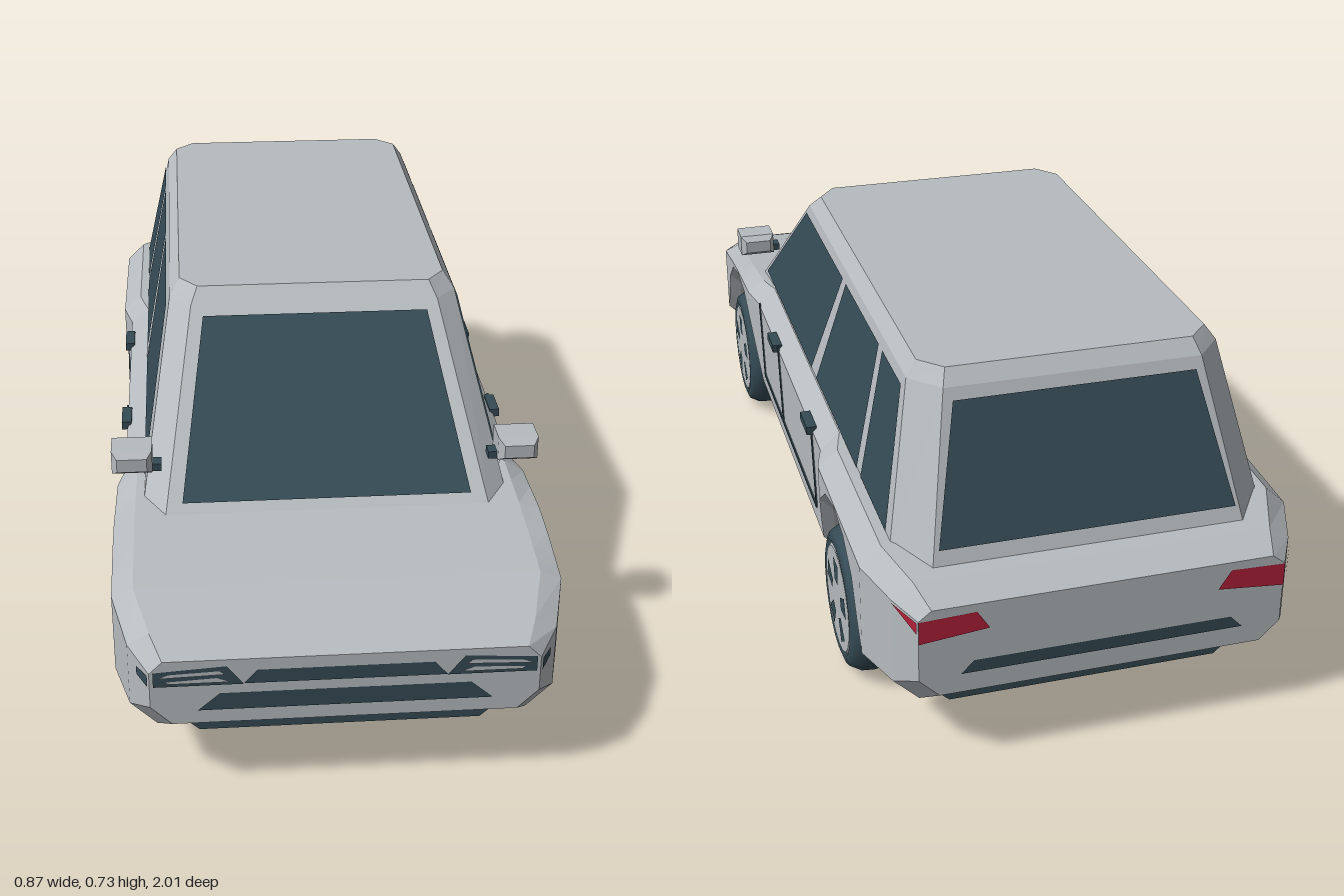
import * as THREE from 'three';

const mat = (name, color) => {
  const m = new THREE.MeshStandardMaterial({ color, side: THREE.DoubleSide, flatShading: true });
  m.name = name;
  return m;
};

const polygon = (pts) => new THREE.Shape(pts.map((p) => new THREE.Vector2(...p)));

export function createModel() {
  const car = new THREE.Group();
  car.name = 'car';
  const paint = mat('silver paint', 0xb6bbbf);
  const dark = mat('dark glass and trim', 0x354b55);
  const red = mat('tail light red', 0xb4203a);
  const rubber = dark.clone();
  rubber.name = 'tyre rubber';
  rubber.flatShading = false;

  const add = (name, geo, material, parent = car) => {
    const m = new THREE.Mesh(geo, material);
    m.name = name;
    parent.add(m);
    return m;
  };

  const toGeometry = (pos) => {
    const g = new THREE.BufferGeometry();
    g.setAttribute('position', new THREE.Float32BufferAttribute(pos, 3));
    g.computeVertexNormals();
    return g;
  };

  // Flat-shaded skin over a stack of rings, closed at both ends
  const loft = (rings) => {
    const n = rings[0].length, pos = [];
    const tri = (...p) => p.forEach((v) => pos.push(...v));
    for (let i = 0; i < rings.length - 1; i++) {
      for (let k = 0; k < n; k++) {
        const a = rings[i][k], b = rings[i][(k + 1) % n];
        const c = rings[i + 1][k], d = rings[i + 1][(k + 1) % n];
        tri(a, c, b);
        tri(b, c, d);
      }
    }
    const last = rings[rings.length - 1];
    for (let k = 1; k < n - 1; k++) {
      tri(rings[0][0], rings[0][k], rings[0][k + 1]);
      tri(last[0], last[k + 1], last[k]);
    }
    return toGeometry(pos);
  };

  // Half outline completed by its mirror image
  const mirrored = (half) => [...half, ...half.slice().reverse().map(([u, v]) => [-u, v])];

  // Thin convex plate whose 2D corners are mapped onto a surface, facing away from the centre
  const plate = (name, pts, place, material, parent = car) => {
    const p = pts.map(([u, v]) => new THREE.Vector3(...place(u, v)));
    const normal = () => p[1].clone().sub(p[0]).cross(p[2].clone().sub(p[0])).normalize();
    const mid = p.reduce((sum, v) => sum.add(v), new THREE.Vector3()).divideScalar(p.length);
    if (normal().dot(mid.sub(new THREE.Vector3(0, 0.3, 0))) < 0) p.reverse();
    const offset = normal().multiplyScalar(0.004);
    p.forEach((v) => v.add(offset));
    const pos = [];
    for (let k = 1; k < p.length - 1; k++) [p[0], p[k], p[k + 1]].forEach((v) => pos.push(v.x, v.y, v.z));
    add(name, toGeometry(pos), material, parent);
  };

  // Body plan: z, half width, shoulder height, top height
  const plan = [
    [1, 0.365, 0.285, 0.31], [0.94, 0.405, 0.31, 0.333], [0.83, 0.435, 0.345, 0.362],
    [0.64, 0.435, 0.376, 0.385], [0.45, 0.43, 0.378, 0.405], [0.39, 0.415, 0.374, 0.41],
    [-0.39, 0.415, 0.374, 0.41], [-0.46, 0.435, 0.378, 0.412], [-0.84, 0.432, 0.37, 0.41],
    [-0.94, 0.395, 0.355, 0.385], [-1, 0.36, 0.34, 0.36],
  ];
  const planAt = (z) => {
    const i = Math.max(1, plan.findIndex((p) => p[0] <= z));
    const a = plan[i - 1], b = plan[i], t = (a[0] - z) / (a[0] - b[0]);
    return a.map((v, k) => v + (b[k] - v) * t);
  };

  // Lower edge: z, height, chamfer; each wheel arch is an arc of seven points
  const axles = [0.61, -0.615];
  const arch = (centre) => Array.from({ length: 7 }, (_, i) => {
    const a = THREE.MathUtils.degToRad(15 + 25 * i);
    return [centre + 0.195 * Math.cos(a), 0.152 + 0.19 * Math.sin(a), 0.028];
  });
  const lowerEdge = [
    [1, 0.17, 0.04], [0.94, 0.128, 0.05], [0.83, 0.13, 0.05], ...arch(axles[0]),
    [0.39, 0.12, 0.04], [-0.39, 0.12, 0.04], ...arch(axles[1]),
    [-0.84, 0.125, 0.05], [-0.94, 0.125, 0.05], [-1, 0.17, 0.04],
  ];
  add('lowerBody', loft(lowerEdge.map(([z, bottom, chamfer]) => {
    const [, w, shoulder, top] = planAt(z);
    const inset = Math.abs(z) === 1 ? 0.025 : 0.042;
    const half = [[w - chamfer, bottom], [w, bottom + chamfer], [w, shoulder], [w - inset, top]];
    return mirrored(half).map(([x, y]) => [x, y, z]);
  })), paint);

  // Cabin rings: y, front half width and z, side half width, side front and rear z, rear half width and z
  add('cabin', loft([
    [0.725, 0.25, 0.22, 0.288, 0.17, -0.72, 0.245, -0.765],
    [0.695, 0.265, 0.255, 0.31, 0.2, -0.73, 0.255, -0.79],
    [0.385, 0.33, 0.61, 0.375, 0.55, -0.84, 0.31, -0.915],
  ].map(([y, fx, fz, sx, sf, sr, rx, rz]) =>
    mirrored([[fx, fz], [sx, sf], [sx, sr], [rx, rz]]).map(([x, z]) => [x, y, z]))), paint);

  // Windscreens lie on the sloping cabin faces
  const slope = (y) => (y - 0.385) / 0.31;
  const trapezoid = (x0, y0, x1, y1) => [[-x0, y0], [x0, y0], [x1, y1], [-x1, y1]];
  plate('windscreen', trapezoid(0.295, 0.403, 0.24, 0.677), (x, y) => [x, y, 0.61 - 0.355 * slope(y)], dark);
  plate('rearWindow', trapezoid(0.295, 0.42, 0.24, 0.672), (x, y) => [x, y, -0.915 + 0.125 * slope(y)], dark);

  // Grille and bumper slots
  plate('upperGrille', trapezoid(0.19, 0.257, 0.165, 0.286), (x, y) => [x, y, 0.998], dark);
  plate('lowerGrille', trapezoid(0.277, 0.2, 0.235, 0.237), (x, y) => [x, y, 0.998], dark);
  plate('rearBumperSlot', trapezoid(0.28, 0.212, 0.255, 0.238), (x, y) => [x, y, -0.998], dark);

  const windows = [
    [[0.495, 0.415], [0.2, 0.677], [-0.205, 0.677], [-0.085, 0.415]],
    [[-0.14, 0.415], [-0.235, 0.677], [-0.54, 0.677], [-0.555, 0.415]],
    [[-0.59, 0.415], [-0.57, 0.677], [-0.72, 0.677], [-0.805, 0.415]],
  ];
  const seams = [
    [0.367, 0.385, 0.335, 0.2], [0.107, 0.385, 0.077, 0.2],
    [-0.295, 0.385, -0.325, 0.2], [0.335, 0.2, -0.325, 0.2],
  ];
  const strips = [
    [[0.235, 0.288], [0.33, 0.284], [0.35, 0.276], [0.225, 0.28]],
    [[0.215, 0.263], [0.24, 0.273], [0.335, 0.268], [0.33, 0.263]],
  ];

  for (const s of [1, -1]) {
    const side = new THREE.Group();
    side.name = s > 0 ? 'leftSide' : 'rightSide';
    car.add(side);

    windows.forEach((w) => plate('sideWindow', w, (z, y) => [s * (0.375 - 0.065 * slope(y)), y, z], dark, side));

    // Door seams and handles
    for (const [z0, y0, z1, y1] of seams) {
      const seam = add('doorSeam', new THREE.BoxGeometry(0.004, 0.008, Math.hypot(z1 - z0, y1 - y0)), dark, side);
      seam.position.set(s * 0.416, (y0 + y1) / 2, (z0 + z1) / 2);
      seam.rotation.x = -Math.atan2(y1 - y0, z1 - z0);
    }
    for (const z of [0.15, -0.27]) {
      add('doorHandle', new THREE.BoxGeometry(0.022, 0.018, 0.075), dark, side).position.set(s * 0.417, 0.377, z);
    }

    // Mirror housing and arm
    const housing = new THREE.ExtrudeGeometry(polygon(trapezoid(0.03, -0.014, 0.03, 0.014)),
      { depth: 0.06, bevelThickness: 0.017, bevelSize: 0.011, bevelSegments: 1 });
    add('mirror', housing, paint, side).position.set(s * 0.394, 0.488, 0.5);
    add('mirrorArm', new THREE.BoxGeometry(0.06, 0.016, 0.03), dark, side).position.set(s * 0.365, 0.468, 0.535);

    // Headlights with bright inner strips
    plate('headlight', [[0.19, 0.256], [0.358, 0.256], [0.358, 0.288], [0.222, 0.297]],
      (x, y) => [s * x, y, 0.998], dark, side);
    strips.forEach((p) => plate('headlightStrip', p, (x, y) => [s * x, y, 1], paint, side));
    plate('headlightReturn', [[0, 0.258], [0.5, 0.268], [0.5, 0.286], [0, 0.284]],
      (t, y) => [s * (0.365 + 0.04 * t), y, 1 - 0.06 * t], dark, side);

    // Tail lights wrapping round the corner
    plate('tailLight', [[0.225, 0.305], [0.36, 0.292], [0.36, 0.34], [0.25, 0.344]],
      (x, y) => [s * x, y, -0.998], red, side);
    plate('tailLightReturn', [[0, 0.315], [0, 0.34], [0.95, 0.353]],
      (t, y) => [s * (0.36 + 0.035 * t), y, -1 + 0.06 * t], red, side);

    // Wheels: rounded tyre, pale rim and five dark openings
    for (const z of axles) {
      const wheel = new THREE.Group();
      wheel.name = z > 0 ? 'frontWheel' : 'rearWheel';
      wheel.position.set(s * 0.325, 0.153, z);
      wheel.rotation.y = s * Math.PI / 2;
      side.add(wheel);
      const profile = [[0, 0], [0.118, 0], [0.14, 0.012], [0.151, 0.035], [0.153, 0.055], [0.151, 0.08],
        [0.138, 0.103], [0.12, 0.109], [0.114, 0.1], [0, 0.1]];
      const tyre = new THREE.LatheGeometry(profile.map((p) => new THREE.Vector2(...p)), 20);
      add('tyre', tyre.rotateX(Math.PI / 2), rubber, wheel);
      add('rim', new THREE.CylinderGeometry(0.11, 0.116, 0.008, 20).rotateX(Math.PI / 2), paint, wheel).position.z = 0.104;
      for (let k = 0; k < 5; k++) {
        const opening = add('rimOpening', new THREE.ShapeGeometry(polygon(trapezoid(0.013, 0.04, 0.022, 0.088))), dark, wheel);
        opening.position.z = 0.1095;
        opening.rotation.z = k * Math.PI * 2 / 5;
      }
    }
  }

  // Underbody tray and axles
  const tray = polygon(mirrored([[0.275, 0.077], [0.3, 0.1], [0.3, 0.185]]));
  add('underbody', new THREE.ExtrudeGeometry(tray, { depth: 1.8, bevelEnabled: false }), dark).position.z = -0.9;
  for (const z of axles) {
    add('axle', new THREE.CylinderGeometry(0.025, 0.025, 0.7, 10).rotateZ(Math.PI / 2), dark).position.set(0, 0.153, z);
  }
  return car;
}
